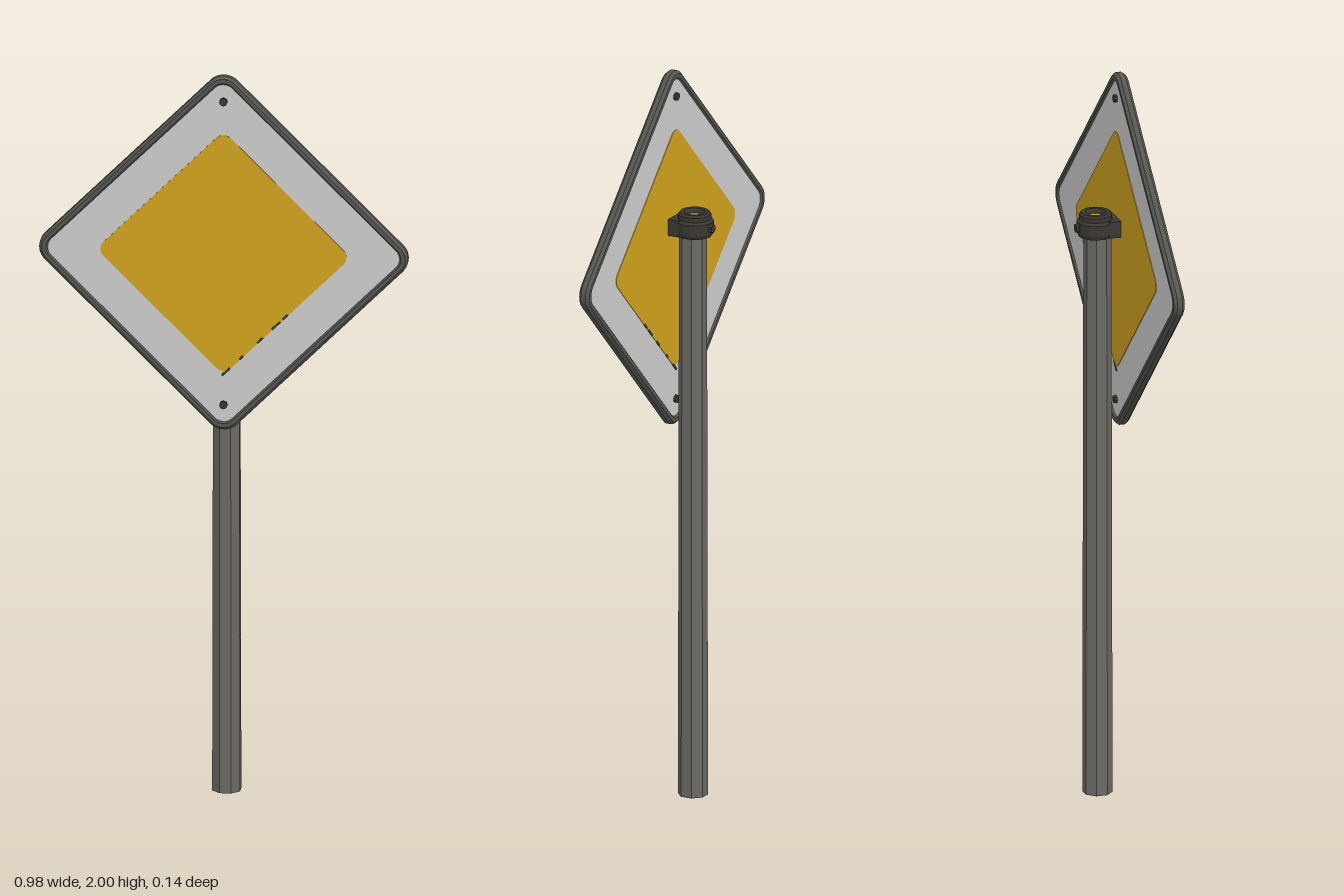
import * as THREE from 'three';

const mat = (name, color, flat = false) => {
  const m = new THREE.MeshStandardMaterial({ color, flatShading: flat });
  m.name = name;
  return m;
};

// Square with rounded corners: h = half side, r = corner radius
function roundedSquare(h, r, Type = THREE.Shape) {
  const s = new Type();
  const c = h - r;
  s.absarc(c, c, r, 0, Math.PI / 2);
  s.absarc(-c, c, r, Math.PI / 2, Math.PI);
  s.absarc(-c, -c, r, Math.PI, Math.PI * 1.5);
  s.absarc(c, -c, r, Math.PI * 1.5, Math.PI * 2);
  s.closePath();
  return s;
}

export function createModel() {
  const model = new THREE.Group();
  model.name = 'roadSign';

  const white = mat('signWhite', 0xcfcfcf);
  const yellow = mat('signYellow', 0xd2a51e);
  const rimGrey = mat('rimGrey', 0x555650, true);
  const poleGrey = mat('poleGrey', 0x6c6964, true);
  const dark = mat('darkIron', 0x3b3833, true);

  const add = (parent, name, geo, material, x = 0, y = 0, z = 0) => {
    const m = new THREE.Mesh(geo, material);
    m.name = name;
    m.position.set(x, y, z);
    parent.add(m);
    return m;
  };

  // Diamond sign: local origin at its centre, turned 45 degrees
  const sign = new THREE.Group();
  sign.name = 'sign';
  sign.position.set(0, 1.51, 0.05);
  sign.rotation.z = Math.PI / 4;
  model.add(sign);

  const plate = (h, r, t) =>
    new THREE.ExtrudeGeometry(roundedSquare(h, r), { depth: t, bevelEnabled: false, curveSegments: 5 })
      .translate(0, 0, -t / 2);

  add(sign, 'whitePanel', plate(0.352, 0.045, 0.02), white);
  for (const s of [1, -1]) add(sign, 'yellowField', plate(0.239, 0.028, 0.002), yellow, 0, 0, s * 0.0105);

  // Bevelled rim around the panel
  const rimShape = roundedSquare(0.361, 0.05);
  rimShape.holes.push(roundedSquare(0.337, 0.03, THREE.Path));
  const rimGeo = new THREE.ExtrudeGeometry(rimShape, {
    depth: 0.014, bevelThickness: 0.008, bevelSize: 0.007, bevelOffset: -0.007,
    bevelSegments: 1, curveSegments: 5,
  }).translate(0, 0, -0.007);
  add(sign, 'rim', rimGeo, rimGrey);

  // Worn flecks along the lower right edge of the yellow field
  for (const s of [1, -1]) {
    [[-0.228, 0.03], [-0.17, 0.014], [-0.10, 0.022], [-0.04, 0.03], [-0.005, 0.02]].forEach(([x, w]) =>
      add(sign, 'wornFleck', new THREE.BoxGeometry(w, 0.006, 0.002), dark, x, -0.237, s * 0.0113));
  }

  // Bolts through the top and bottom corners
  for (const y of [1.93, 1.09]) {
    const bolt = add(model, 'signBolt', new THREE.CylinderGeometry(0.011, 0.011, 0.036, 8), dark, 0, y, 0.05);
    bolt.rotation.x = Math.PI / 2;
  }

  // Tapered eight-sided post
  const post = add(model, 'post', new THREE.CylinderGeometry(0.037, 0.04, 1.58, 8), poleGrey, 0, 0.79, -0.013);
  post.rotation.y = Math.PI / 8;

  // Collar on the post top, with an open centre
  const collar = new THREE.Group();
  collar.name = 'collar';
  collar.position.set(0, 0, -0.018);
  model.add(collar);
  const profile = [[0.024, 1.555], [0.046, 1.555], [0.051, 1.565], [0.051, 1.595], [0.044, 1.602],
    [0.044, 1.614], [0.039, 1.62], [0.028, 1.62], [0.024, 1.612], [0.024, 1.555]]
    .map(([r, y]) => new THREE.Vector2(r, y));
  add(collar, 'collarRing', new THREE.LatheGeometry(profile, 14), dark);
  add(collar, 'collarCentre', new THREE.CylinderGeometry(0.025, 0.025, 0.02, 14), yellow, 0, 1.597, 0);
  const nut = add(collar, 'collarNut', new THREE.CylinderGeometry(0.012, 0.014, 0.014, 6), dark, 0, 1.58, -0.05);
  nut.rotation.x = -Math.PI / 2;

  // Bracket joining the collar to the sign
  add(model, 'bracket', new THREE.BoxGeometry(0.086, 0.045, 0.034), dark, 0, 1.578, 0.023);

  return model;
}
